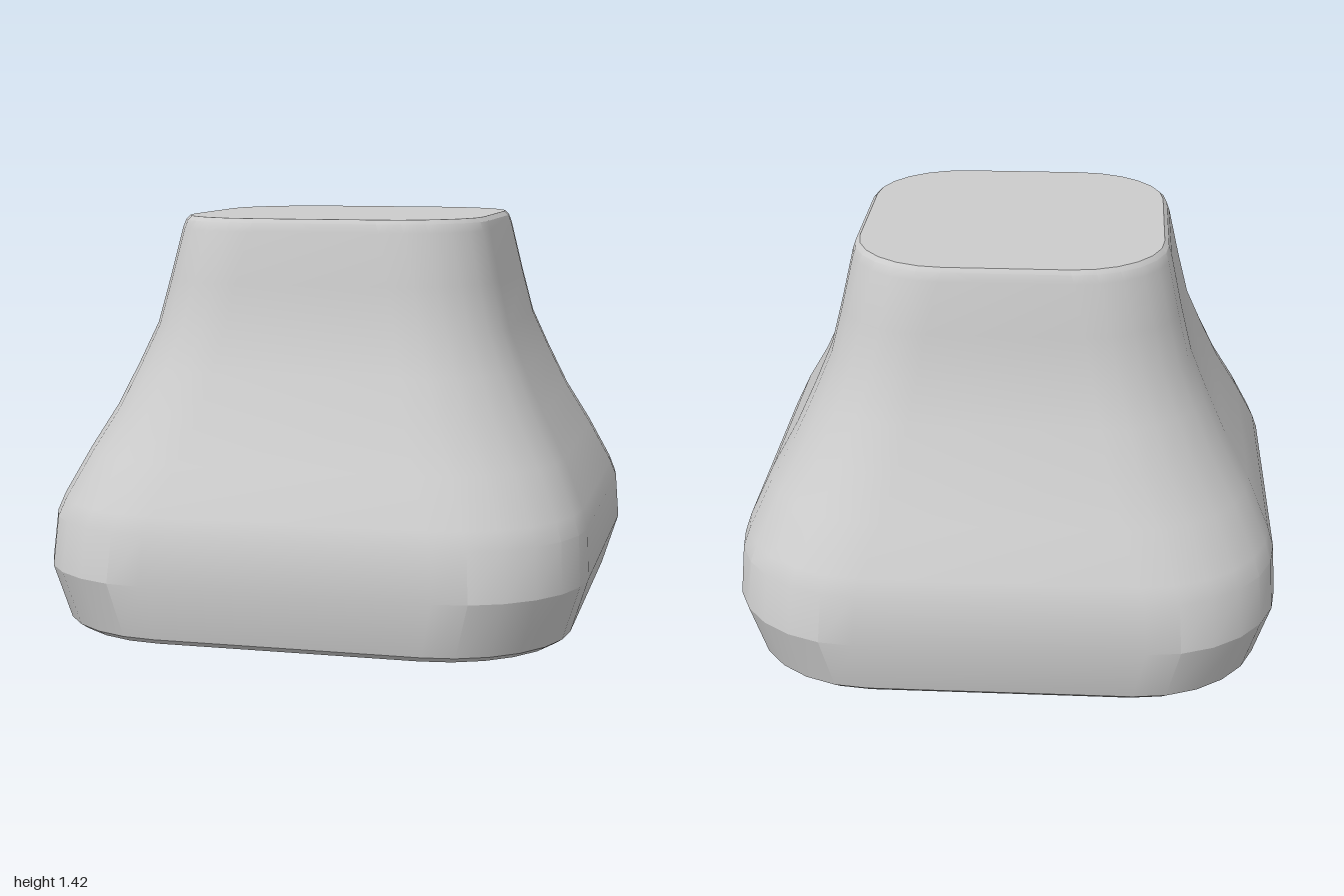
import * as THREE from 'three';
import { toCreasedNormals } from 'three/addons/utils/BufferGeometryUtils.js';

const CORNER_STEPS = 6;

// Cross-sections from bottom to top: height, half width, half depth, corner radius
const SECTIONS = [
  [0.0, 0.87, 0.94, 0.42],
  [0.02, 0.9, 0.965, 0.44],
  [0.21, 0.96, 1.0, 0.46],
  [0.38, 0.95, 0.97, 0.46],
  [0.44, 0.93, 0.945, 0.46],
  [0.6, 0.855, 0.85, 0.44],
  [0.75, 0.77, 0.77, 0.41],
  [0.9, 0.7, 0.7, 0.37],
  [1.04, 0.64, 0.64, 0.34],
  [1.2, 0.6, 0.61, 0.33],
  [1.38, 0.56, 0.58, 0.33],
  [1.41, 0.55, 0.572, 0.33],
  [1.425, 0.535, 0.56, 0.32],
];

// Rounded rectangle outline, walked from +x towards +z
function outline([y, hx, hz, r]) {
  const points = [];
  for (let q = 0; q < 4; q++) {
    const sx = q === 0 || q === 3 ? 1 : -1;
    const sz = q < 2 ? 1 : -1;
    for (let i = 0; i <= CORNER_STEPS; i++) {
      const a = (q + i / CORNER_STEPS) * Math.PI / 2;
      points.push([sx * (hx - r) + r * Math.cos(a), y, sz * (hz - r) + r * Math.sin(a)]);
    }
  }
  return points;
}

// Walls joining all cross-sections
function wallGeometry() {
  const rings = SECTIONS.map(outline);
  const n = rings[0].length;
  const index = [];
  for (let s = 0; s < rings.length - 1; s++) {
    for (let i = 0; i < n; i++) {
      const j = (i + 1) % n;
      const a = s * n + i, b = s * n + j, c = a + n, d = b + n;
      index.push(a, c, b, b, c, d);
    }
  }
  const geometry = new THREE.BufferGeometry();
  geometry.setAttribute('position', new THREE.Float32BufferAttribute(rings.flat(2), 3));
  geometry.setIndex(index);
  return toCreasedNormals(geometry, THREE.MathUtils.degToRad(24));
}

// Flat cap closing one cross-section
function capGeometry(section, up) {
  const ring = outline(section);
  const index = [];
  for (let i = 1; i < ring.length - 1; i++) {
    index.push(0, ...(up ? [i + 1, i] : [i, i + 1]));
  }
  const geometry = new THREE.BufferGeometry();
  geometry.setAttribute('position', new THREE.Float32BufferAttribute(ring.flat(), 3));
  geometry.setIndex(index);
  geometry.computeVertexNormals();
  return geometry;
}

export function createModel() {
  const model = new THREE.Group();
  model.name = 'flaredPedestal';
  const gray = new THREE.MeshStandardMaterial({ color: 0xcccccc });
  gray.name = 'light gray';

  const add = (name, geometry) => {
    const mesh = new THREE.Mesh(geometry, gray);
    mesh.name = name;
    model.add(mesh);
  };
  add('flaredWalls', wallGeometry());
  add('topFace', capGeometry(SECTIONS[SECTIONS.length - 1], true));
  add('bottomFace', capGeometry(SECTIONS[0], false));
  return model;
}
